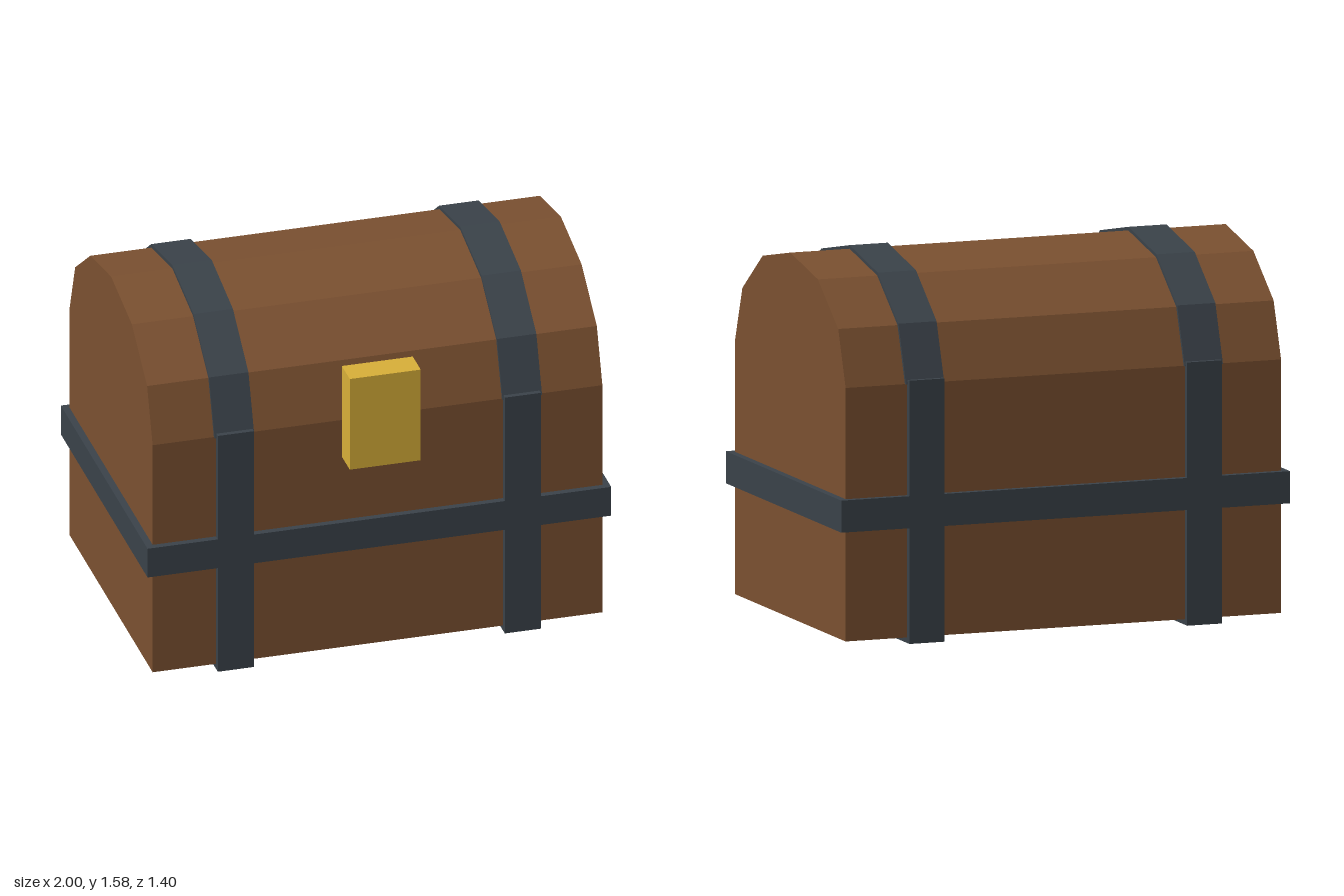
import * as THREE from 'three';

const CZ = -0.042; // depth centre of the chest body
const SPRING = 1.09; // height where the arched lid begins

const material = (name, color) => {
  const m = new THREE.MeshStandardMaterial({ color });
  m.name = name;
  return m;
};

// Six-sided arch points from front to back, as [z, y]
function archPoints(halfDepth, rise) {
  return Array.from({ length: 7 }, (_, i) => {
    const a = (i * Math.PI) / 6;
    return new THREE.Vector2(halfDepth * Math.cos(a), SPRING + rise * Math.sin(a));
  });
}

// Extrudes a z/y profile along x, centred on the given x
function extrudeAlongX(points, width, x) {
  const geo = new THREE.ExtrudeGeometry(new THREE.Shape(points), { depth: width, bevelEnabled: false });
  geo.translate(0, 0, -width / 2);
  geo.rotateY(-Math.PI / 2);
  geo.translate(x, 0, CZ);
  return geo;
}

export function createModel() {
  const chest = new THREE.Group();
  chest.name = 'chest';
  const wood = material('brown wood', 0x7a5030);
  const iron = material('dark iron', 0x3a4249);
  const gold = material('gold', 0xd6ae38);

  const add = (name, geo, mat) => {
    const mesh = new THREE.Mesh(geo, mat);
    mesh.name = name;
    chest.add(mesh);
  };
  const box = (x0, x1, y0, y1, z0, z1) =>
    new THREE.BoxGeometry(x1 - x0, y1 - y0, z1 - z0).translate((x0 + x1) / 2, (y0 + y1) / 2, (z0 + z1) / 2);

  // Wooden body
  add('body', box(-0.97, 0.97, 0.023, SPRING, CZ - 0.63, CZ + 0.63), wood);

  // Arched lid
  add('lid', extrudeAlongX(archPoints(0.63, 0.47), 1.94, 0), wood);

  // Horizontal iron band
  add('belt', box(-1, 1, 0.487, 0.622, CZ - 0.658, CZ + 0.658), iron);

  // Upright and lid straps on both sides
  for (const [side, s] of [['left', 1], ['right', -1]]) {
    add(`${side}BodyStrap`, box(s * 0.619 - 0.078, s * 0.619 + 0.078, 0, 1.108, CZ - 0.658, CZ + 0.658), iron);
    add(`${side}LidStrap`, extrudeAlongX(archPoints(0.643, 0.485), 0.17, s * 0.621), iron);
  }

  // Lock plate on the front
  add('lock', box(-0.153, 0.153, 0.916, 1.342, 0.585, 0.705), gold);

  return chest;
}
